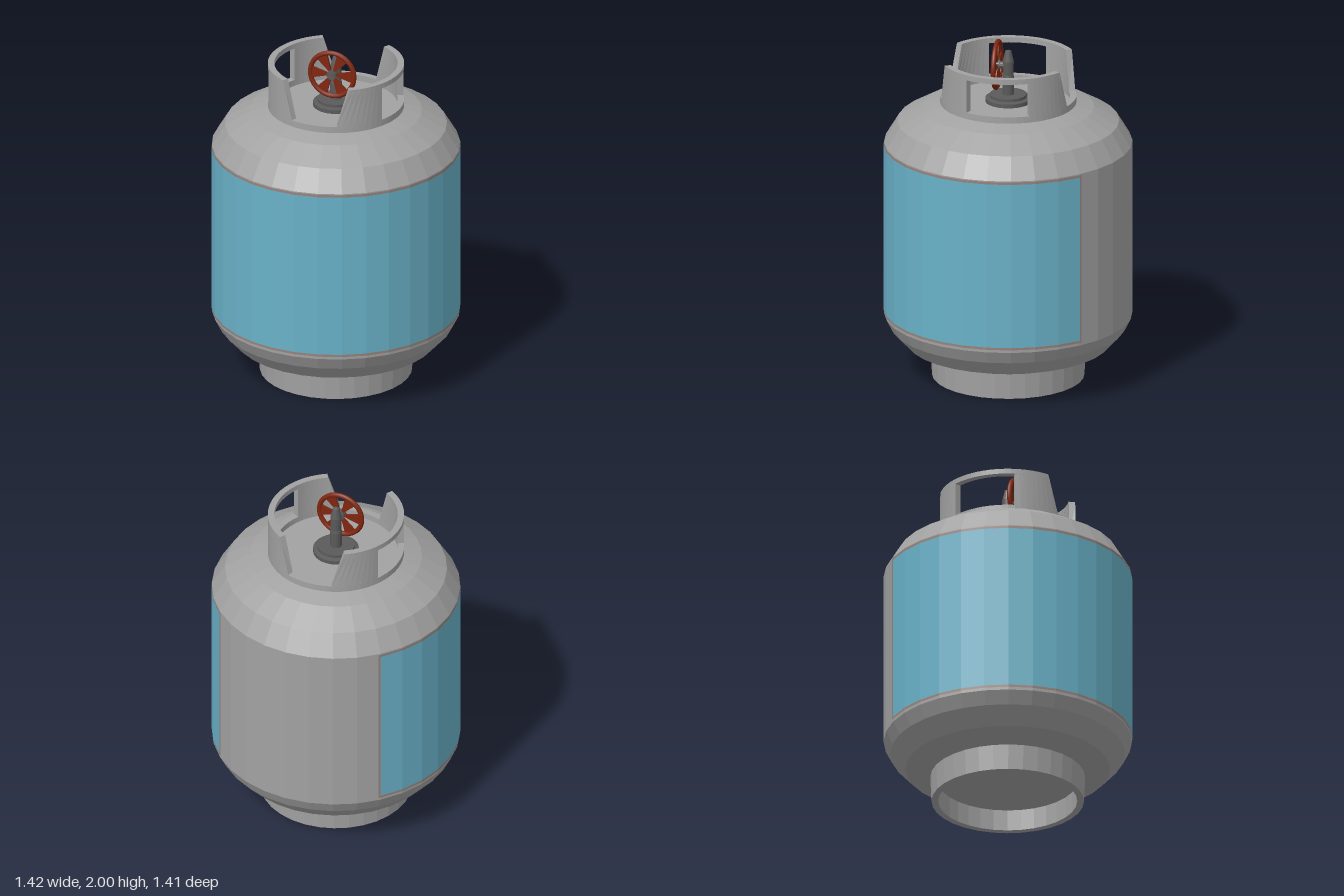
import * as THREE from 'three';

const material = (name, color, extra = {}) => {
  const m = new THREE.MeshStandardMaterial({ color, ...extra });
  m.name = name;
  return m;
};
const rad = THREE.MathUtils.degToRad;

// Curved wall block: rectangular cross-sections swept round the y axis.
// The start and end angles may differ between bottom and top for slanted ends.
function arcBlock([startBottom, startTop], [endBottom, endTop], y0, y1, rIn, rOut, steps) {
  const pos = [], index = [];
  for (let i = 0; i <= steps; i++) {
    const t = i / steps;
    const bottom = rad(startBottom + (endBottom - startBottom) * t);
    const top = rad(startTop + (endTop - startTop) * t);
    for (const [r, y, a] of [[rIn, y0, bottom], [rOut, y0, bottom], [rOut, y1, top], [rIn, y1, top]])
      pos.push(r * Math.sin(a), y, r * Math.cos(a));
  }
  for (let i = 0; i < steps; i++)
    for (let k = 0; k < 4; k++) {
      const a = i * 4 + k, b = i * 4 + (k + 1) % 4;
      index.push(a, a + 4, b + 4, a, b + 4, b);
    }
  const e = steps * 4;
  index.push(0, 1, 2, 0, 2, 3, e, e + 2, e + 1, e, e + 3, e + 2);
  const g = new THREE.BufferGeometry();
  g.setAttribute('position', new THREE.Float32BufferAttribute(pos, 3));
  g.setIndex(index);
  const flat = g.toNonIndexed();
  flat.computeVertexNormals();
  return flat;
}

export function createModel() {
  const flat = { flatShading: true };
  const steel = material('steelGrey', 0xa2a2a2, flat);
  const blue = material('labelBlue', 0x69b1c8, { flatShading: true, side: THREE.DoubleSide });
  const trim = material('labelTrim', 0x97837c, { flatShading: true, side: THREE.DoubleSide });
  const dark = material('valveGrey', 0x5a5a5a, flat);
  const red = material('wheelRed', 0x80260f);

  const model = new THREE.Group();
  model.name = 'gasCylinder';
  const add = (name, geometry, mat, parent = model) => {
    const mesh = new THREE.Mesh(geometry, mat);
    mesh.name = name;
    parent.add(mesh);
    return mesh;
  };
  const lathe = (points, segments) =>
    new THREE.LatheGeometry(points.map(([x, y]) => new THREE.Vector2(x, y)), segments);

  // Tank with domed ends
  add('tank', lathe([[0, 0.12], [0.4, 0.125], [0.44, 0.15], [0.58, 0.2], [0.667, 0.295], [0.705, 0.37],
    [0.705, 1.4], [0.63, 1.525], [0.488, 1.607], [0.385, 1.638], [0, 1.64]], 32), steel);
  add('footRing', lathe([[0.395, 0.15], [0.395, 0], [0.433, 0], [0.44, 0.16]], 32), steel);

  // Wrap-round label with a narrow border, open at the back
  const band = (name, r, y0, y1, from, to, segments, mat) => {
    const g = new THREE.CylinderGeometry(r, r, y1 - y0, segments, 1, true, rad(from), rad(to - from));
    add(name, g, mat).position.y = (y0 + y1) / 2;
  };
  band('label', 0.708, 0.4, 1.38, -135, 135, 24, blue);
  band('labelTopBorder', 0.707, 1.38, 1.394, -135, 135, 24, trim);
  band('labelBottomBorder', 0.707, 0.386, 0.4, -135, 135, 24, trim);
  for (const edge of [-136, 135]) band('labelSideBorder', 0.707, 0.386, 1.394, edge, edge + 1, 1, trim);

  // Guard collar: full base ring, then two handles with a window in each
  const collar = new THREE.Group();
  collar.name = 'collar';
  model.add(collar);
  const rIn = 0.35, rOut = 0.387, yBase = 1.675, yBar = 1.87, yTop = 1.9;
  add('collarBase', lathe([[rIn, yBase], [rIn, 1.63], [rOut, 1.63], [rOut, yBase], [rIn, yBase]], 64), steel, collar);
  const gapBase = 20.5, gapBar = 29.9, gapTop = 31.3, windowHalf = 28;
  for (const turn of [0, 180]) {
    const handle = new THREE.Group();
    handle.name = 'collarHandle';
    handle.rotation.y = rad(turn);
    collar.add(handle);
    const w0 = 90 - windowHalf, w1 = 90 + windowHalf;
    add('handlePost', arcBlock([gapBase, gapBar], [w0, w0], yBase, yBar, rIn, rOut, 8), steel, handle);
    add('handlePost', arcBlock([w1, w1], [180 - gapBase, 180 - gapBar], yBase, yBar, rIn, rOut, 8), steel, handle);
    add('handleBar', arcBlock([gapBar, gapTop], [180 - gapBar, 180 - gapTop], yBar, yTop, rIn, rOut, 24), steel, handle);
  }

  // Valve: stepped flange and tapering stem
  add('valveFlange', lathe([[0.13, 1.63], [0.13, 1.662], [0.105, 1.668], [0.105, 1.684], [0, 1.684]], 32), dark);
  add('valveStem', lathe([[0.034, 1.68], [0.034, 1.78], [0.03, 1.8], [0.032, 1.88], [0.018, 1.94], [0, 1.947]], 16), dark);
  const spindle = add('valveSpindle', new THREE.CylinderGeometry(0.02, 0.02, 0.09, 12), dark);
  spindle.rotation.x = Math.PI / 2;
  spindle.position.set(0, 1.855, 0.045);

  // Hand wheel: rim, hub and wedge spokes
  const wheel = new THREE.Group();
  wheel.name = 'handWheel';
  wheel.position.set(0, 1.855, 0.064);
  model.add(wheel);
  add('wheelRim', new THREE.TorusGeometry(0.132, 0.014, 10, 40), red, wheel);
  const hub = add('wheelHub', new THREE.CylinderGeometry(0.028, 0.028, 0.036, 16), dark, wheel);
  hub.rotation.x = Math.PI / 2;
  const wedge = new THREE.Shape();
  wedge.absarc(0, 0, 0.132, rad(-16), rad(16), false);
  wedge.absarc(0, 0, 0.02, rad(16), rad(-16), true);
  const spoke = new THREE.ExtrudeGeometry(wedge, { depth: 0.012, bevelEnabled: false, curveSegments: 6 });
  spoke.translate(0, 0, -0.006);
  for (let i = 0; i < 6; i++) add('wheelSpoke', spoke, red, wheel).rotation.z = i * Math.PI / 3;

  return model;
}
